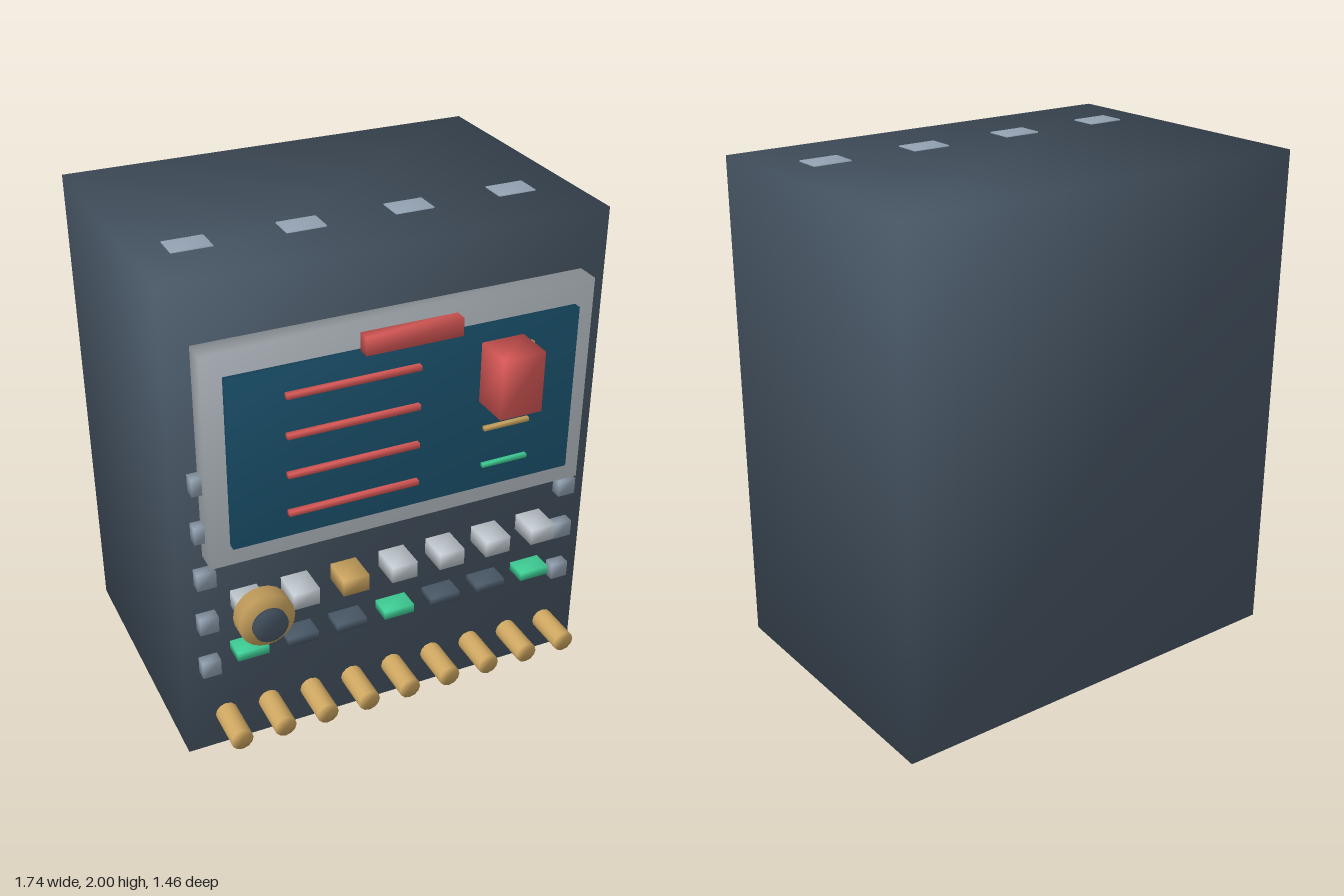
import * as THREE from 'three';
import { mergeVertices } from 'three/addons/utils/BufferGeometryUtils.js';

const mat = (name, color) => {
  const m = new THREE.MeshStandardMaterial({ color });
  m.name = name;
  return m;
};

// weld corners so that normals run smoothly over the edges
function soften(geometry) {
  geometry.deleteAttribute('normal');
  geometry.deleteAttribute('uv');
  const g = mergeVertices(geometry);
  g.computeVertexNormals();
  return g;
}

export function createModel() {
  const group = new THREE.Group();
  const slate = mat('slate', 0x4a5968);
  const silver = mat('silver', 0xc3cbd2);
  const steel = mat('steel', 0x93a2b2);
  const blue = mat('screen blue', 0x1f5c7a);
  const red = mat('red', 0xdb5a58);
  const gold = mat('gold', 0xcca560);
  const green = mat('green', 0x3fcf96);

  const add = (name, geometry, material, x, y, z) => {
    const mesh = new THREE.Mesh(soften(geometry), material);
    mesh.name = name;
    mesh.position.set(x, y, z);
    group.add(mesh);
  };
  // box given by its centre in x and y, its size, and its back and front z
  const box = (name, material, x, y, w, h, z0, z1) =>
    add(name, new THREE.BoxGeometry(w, h, z1 - z0), material, x, y, (z0 + z1) / 2);
  // round part pointing forwards
  const disc = (name, material, x, y, r, z0, z1, sides) =>
    add(name, new THREE.CylinderGeometry(r, r, z1 - z0, sides).rotateX(Math.PI / 2),
      material, x, y, (z0 + z1) / 2);

  // cabinet
  box('cabinet', slate, 0, 0.9975, 1.74, 1.995, -0.73, 0.43);

  // vents on the top
  for (let i = 0; i < 4; i++)
    box('topVent', steel, -0.655 + i * 0.428, 1.99, 0.155, 0.02, 0.07, 0.175);

  // display
  box('bezel', silver, 0, 1.342, 1.535, 0.855, 0.43, 0.525);
  box('screen', blue, 0, 1.34, 1.38, 0.68, 0.5, 0.557);
  box('headerBar', red, -0.003, 1.72, 0.377, 0.07, 0.548, 0.597);
  for (let i = 0; i < 4; i++) {
    const y = 1.582 - i * 0.159;
    box('textLine', red, -0.223, y, 0.515, 0.02, 0.558, 0.58);
    box('statusLine', i % 2 ? green : gold, 0.4, y, 0.19, 0.016, 0.56, 0.577);
  }
  box('redBlock', red, 0.36, 1.51, 0.17, 0.24, 0.575, 0.73);

  // dial
  disc('dialRing', gold, -0.62, 0.755, 0.108, 0.625, 0.69, 20);
  disc('dialCap', slate, -0.62, 0.755, 0.067, 0.708, 0.728, 20);

  // keys and the lights below them
  for (let i = -3; i <= 3; i++) {
    const x = i * 0.205;
    box('key', i === -1 ? gold : silver, x, 0.692, 0.107, 0.07, 0.43, 0.556);
    box('light', i % 3 === 0 ? green : slate, x, 0.474, 0.127, 0.037, 0.43, 0.517);
  }

  // side clips
  for (const x of [-0.77, 0.764])
    for (let i = 0; i < 5; i++)
      box('sideClip', steel, x, 0.42 + i * 0.205, 0.074, 0.07, 0.43, 0.477);

  // row of sockets along the bottom
  for (let i = 0; i < 9; i++)
    disc('socket', gold, -0.707 + i * 0.1795, 0.148, 0.045, 0.43, 0.605, 12);

  return group;
}
